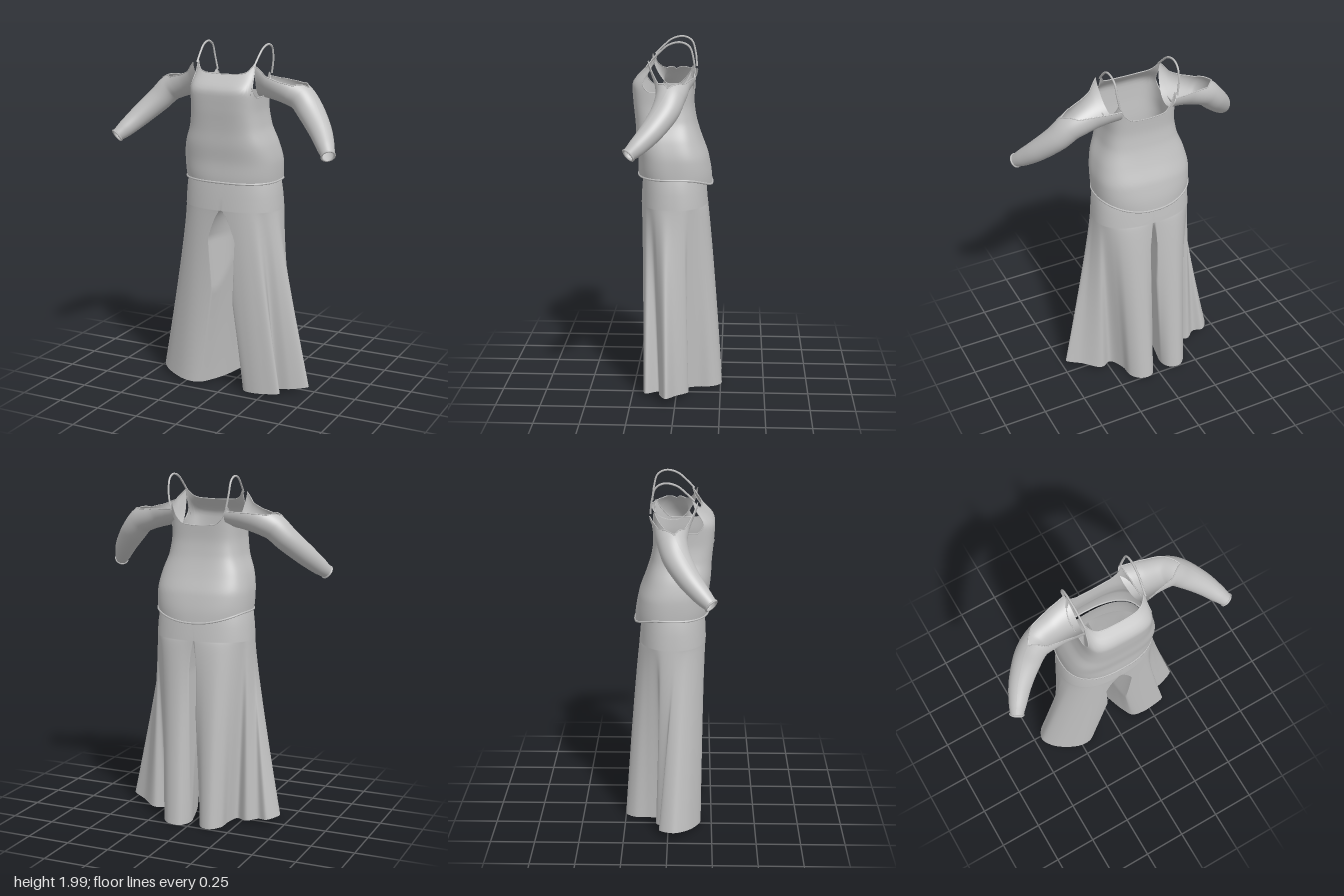
import * as THREE from 'three';

const V = (x, y, z) => new THREE.Vector3(x, y, z);
const { lerp, smoothstep, mapLinear, clamp } = THREE.MathUtils;
const cloth = new THREE.MeshStandardMaterial({ color: 0xc0c0c0, side: THREE.DoubleSide });
cloth.name = 'grey cloth';

function part(name, geometry) {
  const m = new THREE.Mesh(geometry, cloth);
  m.name = name;
  return m;
}

// Skin through rings of points; quads rejected by keep() are left open
function loft(rings, closed, keep = () => true) {
  const n = rings[0].length, pos = [], index = [];
  rings.forEach(r => r.forEach(p => pos.push(p.x, p.y, p.z)));
  for (let i = 0; i < rings.length - 1; i++) {
    for (let j = 0; j < (closed ? n : n - 1); j++) {
      const k = (j + 1) % n;
      if (!keep([rings[i][j], rings[i][k], rings[i + 1][j], rings[i + 1][k]])) continue;
      const a = i * n + j, b = i * n + k;
      index.push(a, b, a + n, b, b + n, a + n);
    }
  }
  const g = new THREE.BufferGeometry();
  g.setAttribute('position', new THREE.Float32BufferAttribute(pos, 3));
  g.setIndex(index);
  g.computeVertexNormals();
  return g;
}

const piping = (points, radius, closed) =>
  new THREE.TubeGeometry(new THREE.CatmullRomCurve3(points, closed), 120, radius, 6, closed);

const spow = (v, p) => Math.sign(v) * Math.pow(Math.abs(v), p);

// Linear lookup in [key, value] pairs
function lookup(keys, x) {
  let i = 1;
  while (i < keys.length - 1 && x > keys[i][0]) i++;
  const [a, b] = [keys[i - 1], keys[i]];
  return mapLinear(x, a[0], b[0], a[1], b[1]);
}

// Top: half width, front z and back z at every 0.1 of height from 1.15
const torso = new THREE.CatmullRomCurve3([
  [.265, .21, -.195], [.275, .225, -.188], [.275, .225, -.168], [.255, .235, -.13], [.217, .24, -.1],
  [.2, .25, -.088], [.198, .255, -.092], [.195, .175, -.1], [.21, .12, -.1],
].map(p => V(...p)));

// Upper rim height by angle from the front: neckline, strap corners, armholes, low back
const rim = [[0, 1.843], [18, 1.848], [30, 1.86], [38, 1.88], [45, 1.905], [52, 1.87], [65, 1.77], [78, 1.72],
  [102, 1.72], [122, 1.78], [135, 1.835], [150, 1.77], [165, 1.73], [180, 1.72]];

function buildBodice(group) {
  const rows = 32, cols = 144, rings = [];
  for (let i = 0; i <= rows; i++) {
    const ring = [];
    for (let j = 0; j < cols; j++) {
      const deg = j * 360 / cols, e = deg > 180 ? 360 - deg : deg, a = deg * Math.PI / 180;
      const low = 1.243 - .058 * smoothstep(e, 100, 180);
      const y = lerp(low, lookup(rim, e), i / rows);
      const s = torso.getPoint(clamp((y - 1.15) / .8, 0, 1));
      const p = 2 / mapLinear(y, 1.18, 1.9, 2.3, 4.6);
      const c = (s.y + s.z) / 2, d = (s.y - s.z) / 2;
      ring.push(V(s.x * spow(Math.sin(a), p), y, c + d * spow(Math.cos(a), p)));
    }
    rings.push(ring);
  }
  group.add(part('bodice', loft(rings, true)));
  group.add(part('bodiceHem', piping(rings[0].filter((_, j) => j % 3 === 0), .006, true)));
  group.add(part('neckAndArmholeTrim', piping(rings[rows].filter((_, j) => j % 2 === 0), .003, true)));
}

// Off-shoulder sleeve: centre x, y, z, depth radius, height radius, gap half-angle, front lift
const sleeveKeys = [
  [.175, 1.8, .028, .132, .09, 85, .085],
  [.23, 1.79, .022, .112, .088, 82, .035],
  [.3, 1.77, .02, .095, .085, 70, .01],
  [.36, 1.745, .02, .087, .08, 52, 0],
  [.41, 1.717, .026, .08, .075, 0, 0],
  [.47, 1.655, .05, .077, .07, 0, 0],
  [.56, 1.56, .12, .063, .06, 0, 0],
  [.62, 1.49, .19, .048, .048, 0, 0],
  [.65, 1.455, .23, .036, .036, 0, 0],
];

function buildSleeve() {
  const group = new THREE.Group();
  const path = new THREE.CatmullRomCurve3(sleeveKeys.map(k => V(k[0], k[1], k[2])));
  const size = new THREE.CatmullRomCurve3(sleeveKeys.map(k => V(k[3], k[4], k[6])));
  const gaps = sleeveKeys.map((k, q) => [q / 8, k[5]]);
  const steps = 48, n = 40, rings = [];
  for (let i = 0; i <= steps; i++) {
    const t = i / steps, c = path.getPoint(t), s = size.getPoint(t);
    const d = path.getPoint(Math.min(1, t + .02)).sub(path.getPoint(Math.max(0, t - .02))).normalize();
    const front = d.clone().cross(V(0, 1, 0)).normalize(), up = front.clone().cross(d);
    const gap = lookup(gaps, t) * Math.PI / 180;
    const ring = [];
    for (let j = 0; j <= n; j++) {
      const a = gap + (2 * Math.PI - 2 * gap) * j / n;
      const p = c.clone().addScaledVector(front, s.x * Math.sin(a)).addScaledVector(up, s.y * Math.cos(a));
      p.y += s.z * Math.max(0, Math.sin(a)) ** 2;
      ring.push(p);
    }
    rings.push(ring);
  }
  group.add(part('sleeve', loft(rings, false)));
  group.add(part('cuffRoll', piping(rings[steps].slice(0, n), .006, true)));
  // Rim of the shoulder opening
  const open = rings.slice(0, steps / 2 + 1);
  const edge = [...open.map(r => r[0]), ...open.map(r => r[n]).reverse().slice(1)];
  group.add(part('shoulderOpeningTrim', piping(edge, .003, false)));
  // Shoulder strap
  group.add(part('strap', piping([V(.176, 1.895, .14), V(.18, 1.94, .095), V(.184, 1.98, .045),
    V(.187, 1.994, -.02), V(.186, 1.97, -.068), V(.182, 1.9, -.09), V(.17, 1.825, -.098)], .006, false)));
  return group;
}

// Hem outlines as x, z pairs: inner front, round the outside folds, inner back, then the slanting inseam
const hemLeft = [[.13, .17], [.19, .188], [.27, .188], [.355, .17], [.3, .1], [.39, .09], [.485, .05],
  [.4, 0], [.3, -.07], [.23, -.04], [.18, -.12], [.17, -.2], [.12, -.25], [.05, -.25],
  [.012, -.18], [.03, -.09], [.055, 0], [.09, .1]];
const hemRight = [[.16, .165], [.2, .185], [.26, .185], [.34, .155], [.42, .1], [.46, .03], [.41, -.05],
  [.35, -.03], [.29, -.07], [.22, -.03], [.195, -.12], [.19, -.2], [.14, -.25], [.08, -.235],
  [.05, -.18], [.06, -.09], [.08, 0], [.12, .1]];

// Hip: y, half width, front z, back z
const hip = [[1.32, .25, .19, -.13], [1.24, .273, .2, -.147], [1.16, .283, .206, -.16], [1.08, .288, .21, -.167]];
const CROTCH = 1.08, SPLIT = 14 / 18;

// Half of the hip outline, flat along the middle
function hipPoint(u, [y, w, zf, zb]) {
  if (u >= SPLIT) return V(0, y, mapLinear(u, SPLIT, 1, zb, zf));
  const a = Math.PI * u / SPLIT, p = 2 / 2.4;
  return V(w * Math.max(0, spow(Math.sin(a), p)), y, (zf + zb) / 2 + (zf - zb) / 2 * spow(Math.cos(a), p));
}

function buildLeg(hemPoints, side) {
  const n = 144, steps = 44, rings = [];
  const hem = new THREE.CatmullRomCurve3(hemPoints.map(([x, z]) => V(x, .005 + .2 * x * x, z)), true);
  const us = Array.from({ length: n }, (_, j) => j / n);
  for (const h of hip) rings.push(us.map(u => hipPoint(u, h)));
  for (let i = 1; i <= steps; i++) {
    const t = (i / steps) ** 1.4;
    rings.push(us.map(u => {
      const p = hipPoint(u, hip[3]), q = hem.getPoint(u);
      const z = lerp(p.z, q.z, t ** .75);
      // The inseam parts quickly below the crotch, wider at the front
      const part = Math.min(1, t * 6) ** .7 * (1 - .6 * t);
      const inset = part * (.025 + .07 * smoothstep(z, -.02, .22));
      return V(Math.max(inset, lerp(p.x, q.x, t ** 1.08)), lerp(CROTCH, q.y, t), z);
    }));
  }
  rings.forEach(r => r.forEach(p => { p.x *= side; }));
  // No wall between the legs above the crotch
  return loft(rings, true, q => q.some(p => Math.abs(p.x) > .001));
}

export function createModel() {
  const model = new THREE.Group();
  model.name = 'outfit';

  const top = new THREE.Group();
  top.name = 'top';
  buildBodice(top);
  for (const side of [1, -1]) {
    const sleeve = buildSleeve();
    sleeve.name = side > 0 ? 'leftSleeve' : 'rightSleeve';
    sleeve.scale.x = side;
    top.add(sleeve);
  }

  const trousers = new THREE.Group();
  trousers.name = 'trousers';
  trousers.add(part('leftLeg', buildLeg(hemLeft, 1)), part('rightLeg', buildLeg(hemRight, -1)));

  model.add(top, trousers);
  return model;
}
